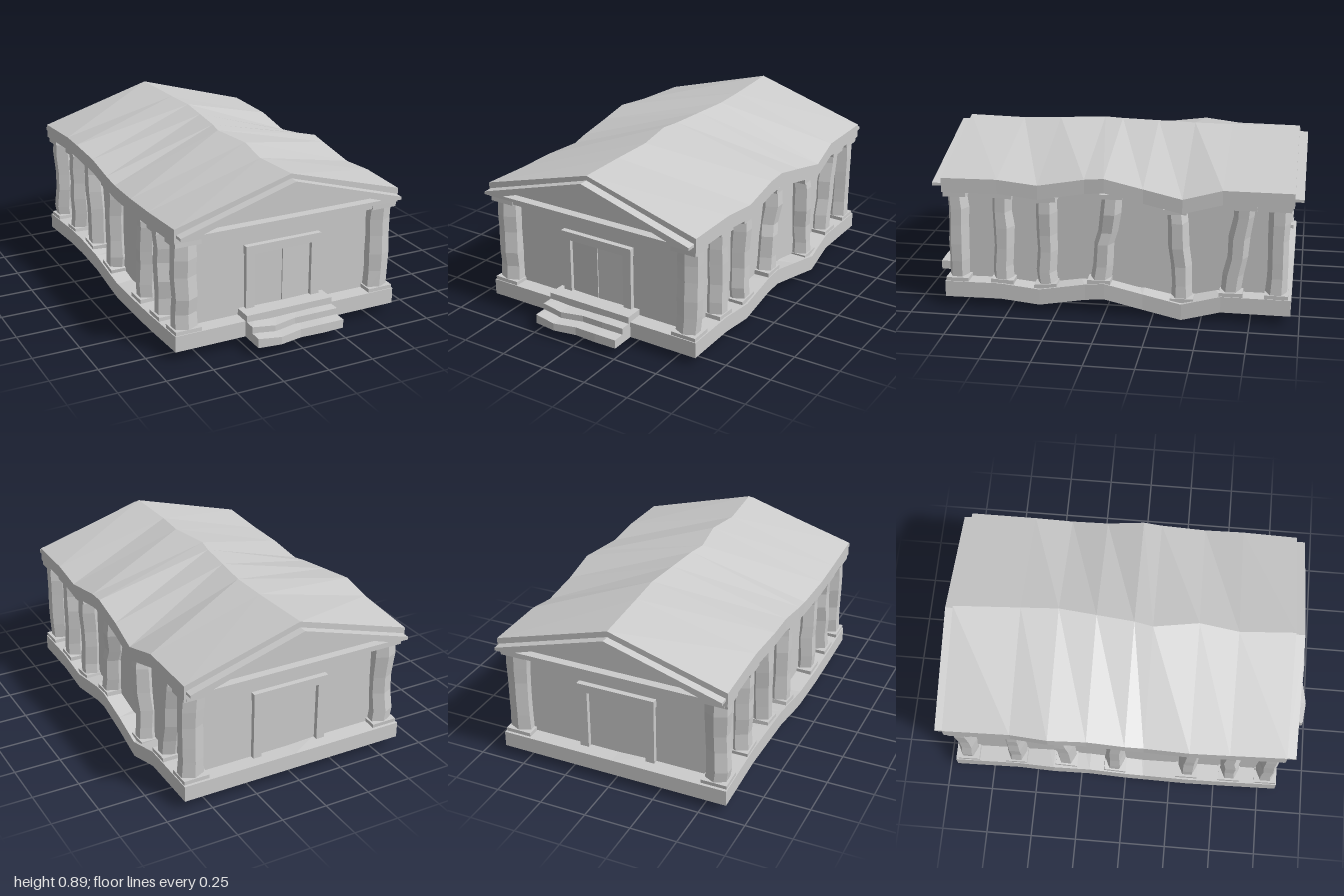
import * as THREE from 'three';

const mat = new THREE.MeshStandardMaterial({ color: 0xcccccc, flatShading: true });

// Stations along the building, and how far each long side sags or rises there
const Z = [0.845, 0.55, 0.34, 0.1, 0, -0.2, -0.4, -0.6, -0.955];
const POS_X = [0, 0.005, -0.015, 0.025, 0.035, -0.01, -0.05, 0, 0];
const NEG_X = [0, -0.015, -0.018, -0.028, -0.01, 0.022, 0.045, 0.027, 0];
const RIDGE_X = [0, -0.015, 0.01, -0.03, -0.01, 0.01, 0.03, 0.02, 0];
const RIDGE_Y = [0.88, 0.87, 0.885, 0.888, 0.888, 0.888, 0.888, 0.885, 0.886];
const WIDEN = [0, 0.005, 0.01, 0, 0.005, 0.005, 0.02, 0, 0];

let seed = 7;
function rand(amount) {
  seed = (seed * 16807) % 2147483647;
  return (seed / 2147483647 - 0.5) * 2 * amount;
}

function sag(x, z) {
  const f = x > 0 ? POS_X : NEG_X;
  let i = 0;
  while (i < Z.length - 2 && z < Z[i + 1]) i++;
  const t = THREE.MathUtils.clamp((Z[i] - z) / (Z[i] - Z[i + 1]), 0, 1);
  return (f[i] + (f[i + 1] - f[i]) * t) * Math.min(1, Math.abs(x) / 0.6);
}

function add(parent, name, geometry, x = 0, y = 0, z = 0) {
  const mesh = new THREE.Mesh(geometry, mat);
  mesh.name = name;
  mesh.position.set(x, y, z);
  parent.add(mesh);
  return mesh;
}

function box(parent, name, x0, x1, y0, y1, z0, z1) {
  return add(parent, name, new THREE.BoxGeometry(x1 - x0, y1 - y0, z1 - z0),
    (x0 + x1) / 2, (y0 + y1) / 2, (z0 + z1) / 2);
}

// Closed body through cross-sections (counter-clockwise from the front), front to back
function loft(section) {
  const rings = Z.map((z, k) => section(k).map(([x, y]) => new THREE.Vector3(x, y, z)));
  const out = [];
  const tri = (...pts) => pts.forEach((p) => out.push(p.x, p.y, p.z));
  const n = rings[0].length;
  for (let k = 0; k < rings.length - 1; k++) {
    const a = rings[k], b = rings[k + 1];
    for (let i = 0; i < n; i++) {
      const j = (i + 1) % n;
      tri(a[i], b[i], a[j]);
      tri(a[j], b[i], b[j]);
    }
  }
  [rings[0], rings[rings.length - 1]].forEach((r, end) => {
    const c = r.reduce((s, p) => s.add(p), new THREE.Vector3()).divideScalar(n);
    for (let i = 0; i < n; i++) {
      const j = (i + 1) % n;
      if (end) tri(c, r[j], r[i]); else tri(c, r[i], r[j]);
    }
  });
  const g = new THREE.BufferGeometry();
  g.setAttribute('position', new THREE.Float32BufferAttribute(out, 3));
  g.computeVertexNormals();
  return g;
}

// Rough six-sided shaft on a plinth, under a capital, leaning from zBottom to zTop
function column(parent, x, zBottom, zTop) {
  const group = new THREE.Group();
  group.name = 'column';
  const yb = 0.13 + sag(x, zBottom), yt = 0.63 + sag(x, zTop);
  const g = new THREE.CylinderGeometry(0.054, 0.054, 1, 6, 5);
  const p = g.attributes.position;
  const rings = Array.from({ length: 6 }, () => [rand(0.006), rand(0.006), 1 + rand(0.06), rand(0.025)]);
  for (let i = 0; i < p.count; i++) {
    const t = p.getY(i) + 0.5;
    const [dx, dz, s, dy] = rings[Math.round(t * 5)];
    const inner = t > 0.01 && t < 0.99 ? 1 : 0;
    p.setXYZ(i, p.getX(i) * s * 1.25 + dx, yb + (yt - yb) * t + dy * inner,
      p.getZ(i) * s + dz + zBottom + (zTop - zBottom) * t);
  }
  g.computeVertexNormals();
  add(group, 'shaft', g, x);
  const tilt = Math.atan2(sag(x, zBottom - 0.06) - sag(x, zBottom + 0.06), 0.12);
  add(group, 'plinth', new THREE.BoxGeometry(0.14, 0.03, 0.12), x, yb + 0.01, zBottom).rotation.x = tilt;
  add(group, 'capital', new THREE.BoxGeometry(0.14, 0.025, 0.12), x, yt - 0.018, zTop).rotation.x = tilt;
  parent.add(group);
}

// Triangular frame standing out from a gable end
function pediment() {
  const s = new THREE.Shape([[-0.62, 0.655], [0.62, 0.655], [0.62, 0.67], [0, 0.855], [-0.62, 0.67]]
    .map(([x, y]) => new THREE.Vector2(x, y)));
  s.holes.push(new THREE.Path([[-0.5, 0.67], [0, 0.832], [0.5, 0.67]].map(([x, y]) => new THREE.Vector2(x, y))));
  return new THREE.ExtrudeGeometry(s, { depth: 0.05, bevelEnabled: false });
}

// Door frame on the wall plane z = 0, facing +z
function doorway(name) {
  const g = new THREE.Group();
  g.name = name;
  for (const s of [-1, 1]) {
    const jamb = box(g, 'jamb', -0.024, 0.024, 0.13, 0.475, 0, 0.025);
    jamb.position.x = s * 0.187;
  }
  box(g, 'lintel', -0.215, 0.215, 0.465, 0.51, 0, 0.03);
  return g;
}

export function createModel() {
  const model = new THREE.Group();
  model.name = 'temple';

  // Sagging stone base
  add(model, 'base', loft((k) => {
    const w = 0.63 + WIDEN[k] * 0.6, l = NEG_X[k], r = POS_X[k];
    return [[-w, 0.05 + l], [0, 0.05], [w, 0.05 + r], [w, 0.135 + r], [0, 0.135], [-w, 0.135 + l]];
  }));

  // Gabled roof with a wandering ridge
  add(model, 'roof', loft((k) => {
    const w = 0.63 + WIDEN[k], l = NEG_X[k], r = POS_X[k];
    return [[-w, 0.625 + l], [0, 0.625], [w, 0.625 + r], [w, 0.7 + r],
      [RIDGE_X[k], RIDGE_Y[k]], [-w, 0.7 + l]];
  }));

  // Inner hall
  box(model, 'hall', -0.54, 0.54, 0.1, 0.66, -0.87, 0.76);

  // Gable ends: pediment frame, beam and doorway
  add(model, 'frontPediment', pediment(), 0, 0, 0.845);
  add(model, 'backPediment', pediment(), 0, 0, -1);
  box(model, 'frontBeam', -0.61, 0.61, 0.605, 0.635, 0.72, 0.835);
  box(model, 'backBeam', -0.61, 0.61, 0.605, 0.635, -0.945, -0.83);
  const front = doorway('frontDoorway');
  front.position.z = 0.76;
  for (const s of [-1, 1]) {
    const leaf = box(front, 'doorLeaf', -0.079, 0.079, 0.13, 0.465, 0, 0.01);
    leaf.position.x = s * 0.081;
    leaf.rotation.y = s * 0.03;
  }
  const back = doorway('backDoorway');
  back.position.z = -0.87;
  back.rotation.y = Math.PI;
  model.add(front, back);

  // Colonnades: [bottom z, top z]
  [[0.78, 0.78], [0.54, 0.54], [0.31, 0.31], [0.03, -0.035], [-0.4, -0.36], [-0.65, -0.71], [-0.88, -0.88]]
    .forEach(([b, t]) => column(model, 0.555, b, t));
  [[0.78, 0.78], [0.58, 0.56], [0.34, 0.36], [-0.06, -0.05], [-0.33, -0.36], [-0.61, -0.6], [-0.88, -0.88]]
    .forEach(([b, t]) => column(model, -0.555, b, t));

  // Worn front steps
  [[0.05, 0.1, 0.985], [0.09, 0.135, 0.92], [0.13, 0.17, 0.86]].forEach(([y0, y1, z], n) => {
    const g = new THREE.BoxGeometry(0.49, y1 - y0, z - 0.74, 4, 1, 1);
    const p = g.attributes.position;
    const wear = [0, 0.015, -0.008, -0.002, -0.005];
    for (let i = 0; i < p.count; i++) {
      const c = Math.round((p.getX(i) / 0.49 + 0.5) * 4);
      if (p.getZ(i) > 0 && n < 2) {
        p.setZ(i, p.getZ(i) + wear[c]);
        if (p.getY(i) > 0) p.setY(i, p.getY(i) - Math.abs(wear[c]) * 0.6);
      }
    }
    g.computeVertexNormals();
    add(model, 'step', g, 0, (y0 + y1) / 2, (z + 0.74) / 2);
  });

  return model;
}
